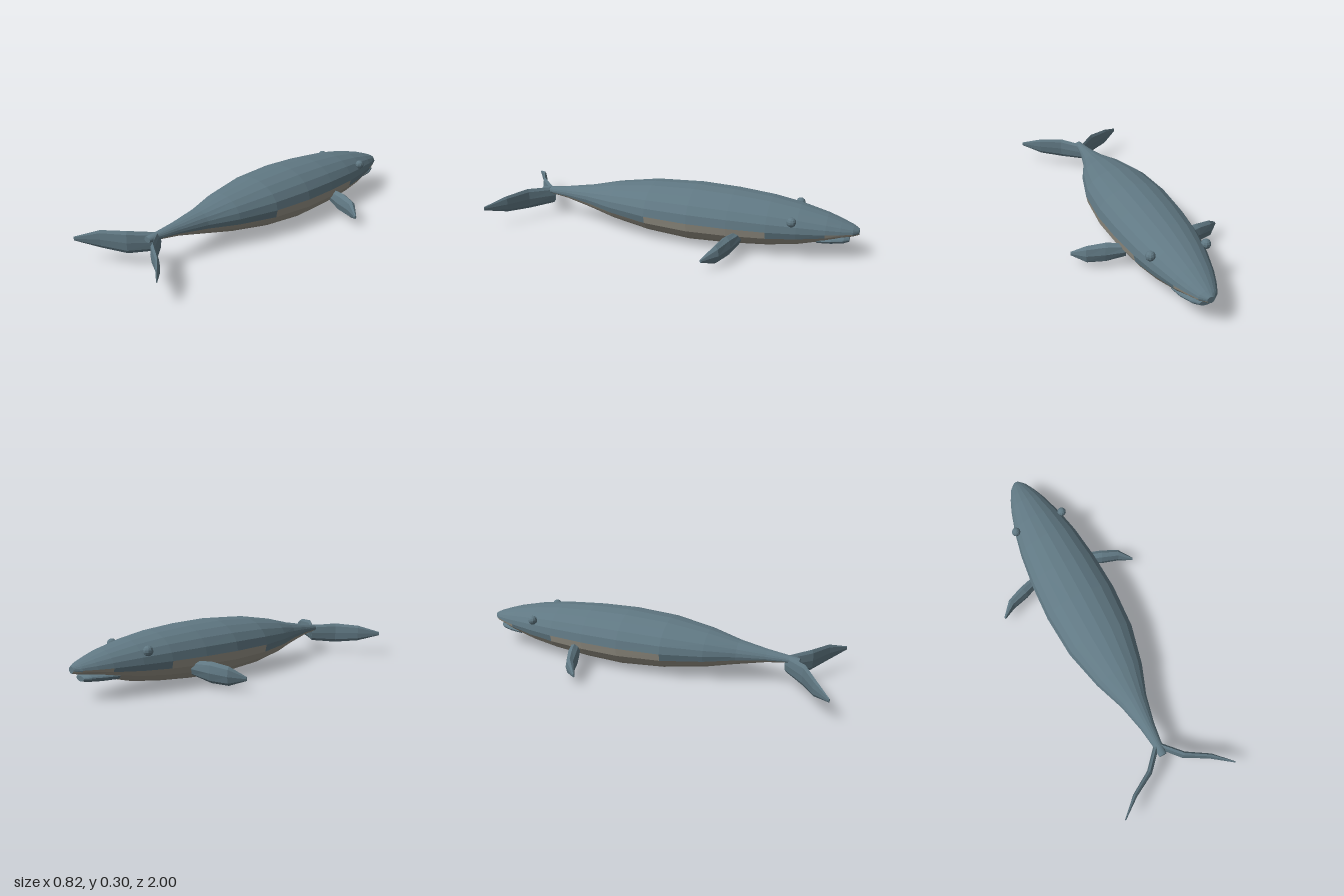
import * as THREE from 'three';

const SIDES = 20;

// Flat-shaded skin over a list of rings; pick(i, j) chooses which faces belong to it
function loft(rings, pick = () => true) {
  const pos = [];
  const tri = (...pts) => pts.forEach((p) => pos.push(p.x, p.y, p.z));
  const n = rings[0].length, last = rings.length - 1;
  for (let i = 0; i < last; i++) {
    for (let j = 0; j < n; j++) {
      if (!pick(i, j)) continue;
      const k = (j + 1) % n, a = rings[i], b = rings[i + 1];
      tri(a[j], b[j], b[k]);
      tri(a[j], b[k], a[k]);
    }
  }
  if (pick(-1, 0)) {
    const a = rings[0], b = rings[last];
    for (let j = 1; j < n - 1; j++) {
      tri(a[0], a[j], a[j + 1]);
      tri(b[0], b[j + 1], b[j]);
    }
  }
  const g = new THREE.BufferGeometry();
  g.setAttribute('position', new THREE.Float32BufferAttribute(pos, 3));
  g.computeVertexNormals();
  return g;
}

// Oval cross-section of the body: z, half width, top, middle, bottom
function bodyRing([z, w, top, mid, bottom]) {
  return Array.from({ length: SIDES }, (_, j) => {
    const a = (j / SIDES) * Math.PI * 2, c = Math.cos(a);
    return new THREE.Vector3(Math.sin(a) * w, mid + c * (c > 0 ? top - mid : mid - bottom), z);
  });
}

// Upright blade through sections: x, y, z, half height, half thickness
function blade(sections, side, sides = 8) {
  const f = sections[0], l = sections[sections.length - 1];
  const d = new THREE.Vector2(l[0] - f[0], l[2] - f[2]).normalize();
  const rings = sections.map(([x, y, z, h, t]) => {
    const ring = Array.from({ length: sides }, (_, j) => {
      const a = (j / sides) * Math.PI * 2, s = Math.sin(a) * t;
      return new THREE.Vector3(side * (x + d.y * s), y + Math.cos(a) * h, z - d.x * s);
    });
    return side < 0 ? ring.reverse() : ring;
  });
  return loft(rings);
}

export function createModel() {
  const model = new THREE.Group();
  const slate = new THREE.MeshStandardMaterial({ color: 0x607883 });
  slate.name = 'slate skin';
  const pale = new THREE.MeshStandardMaterial({ color: 0x969286 });
  pale.name = 'pale belly';
  const add = (name, geometry, material) => {
    const mesh = new THREE.Mesh(geometry, material);
    mesh.name = name;
    model.add(mesh);
    return mesh;
  };

  // Body from snout to tail stock
  const profile = [
    [-1.0, 0.018, 0.165, 0.15, 0.132],
    [-0.97, 0.048, 0.18, 0.148, 0.125],
    [-0.91, 0.078, 0.202, 0.148, 0.115],
    [-0.84, 0.105, 0.225, 0.148, 0.09],
    [-0.7, 0.145, 0.257, 0.15, 0.052],
    [-0.55, 0.175, 0.28, 0.15, 0.03],
    [-0.35, 0.197, 0.295, 0.15, 0.012],
    [-0.14, 0.206, 0.3, 0.15, 0.003],
    [0.1, 0.189, 0.287, 0.15, 0.02],
    [0.32, 0.135, 0.252, 0.15, 0.052],
    [0.48, 0.075, 0.214, 0.15, 0.086],
    [0.63, 0.04, 0.188, 0.15, 0.12],
    [0.73, 0.026, 0.174, 0.15, 0.134],
    [0.8, 0.021, 0.165, 0.15, 0.136],
  ];
  const rings = profile.map(bodyRing);
  // Belly patch reaches one row higher at the mouth and along the middle
  const isBelly = (i, j) => {
    if (i < 0 || i > 11) return false;
    const high = i === 1 || i === 2 || (i >= 5 && i <= 7);
    const row = Math.min(j, SIDES - 1 - j);
    return row >= (high ? 5 : 6);
  };
  add('back', loft(rings, (i, j) => !isBelly(i, j)), slate);
  add('belly', loft(rings, isBelly), pale);

  // Lower jaw
  const jaw = [
    [-0.955, 0.03, 0.115, 0.105, 0.09],
    [-0.93, 0.058, 0.125, 0.108, 0.084],
    [-0.87, 0.085, 0.128, 0.108, 0.08],
    [-0.8, 0.095, 0.125, 0.105, 0.078],
  ];
  add('lowerJaw', loft(jaw.map(bodyRing)), slate);

  // Paired parts
  const flipper = [
    [0.155, 0.092, -0.405, 0.036, 0.028],
    [0.25, 0.08, -0.372, 0.054, 0.032],
    [0.34, 0.07, -0.342, 0.048, 0.024],
    [0.408, 0.058, -0.288, 0.01, 0.006],
  ];
  const fluke = [
    [0.0, 0.123, 0.735, 0.047, 0.014],
    [0.1, 0.122, 0.843, 0.058, 0.014],
    [0.22, 0.125, 0.912, 0.046, 0.011],
    [0.32, 0.123, 0.996, 0.01, 0.003],
  ];
  const eye = new THREE.SphereGeometry(0.025, 10, 7).toNonIndexed();
  eye.computeVertexNormals();
  for (const [side, label] of [[1, 'left'], [-1, 'right']]) {
    add(label + 'Flipper', blade(flipper, side), slate);
    add(label + 'Fluke', blade(fluke, side), slate);
    add(label + 'Eye', eye, slate).position.set(side * 0.143, 0.212, -0.675);
  }
  return model;
}
